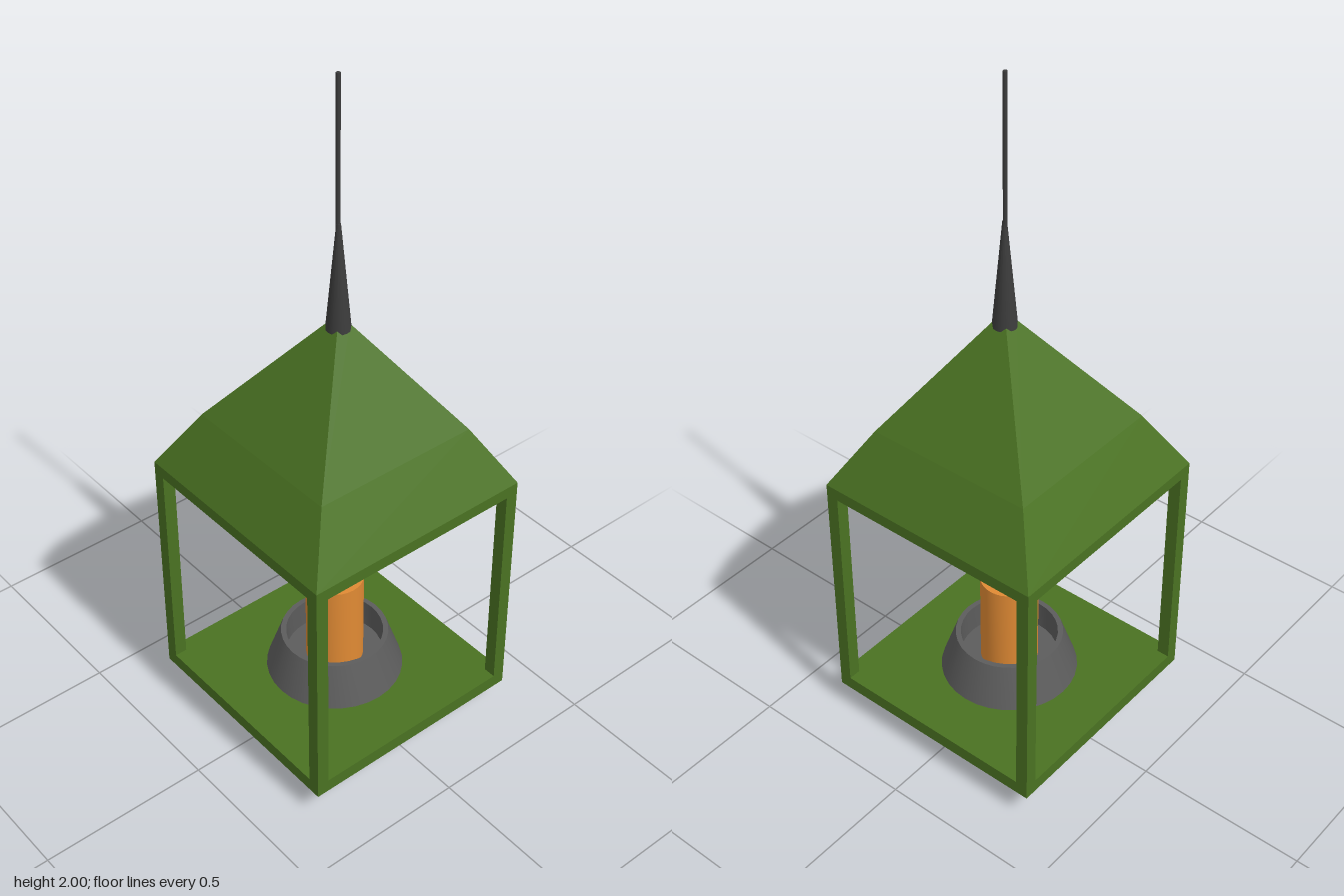
import * as THREE from 'three';
import { toCreasedNormals } from 'three/addons/utils/BufferGeometryUtils.js';

const paint = (color) => new THREE.MeshStandardMaterial({ color });
const green = paint(0x4a7222);
const iron = paint(0x5c5c5c);
const darkIron = paint(0x3c3c3c);
const wax = paint(0xe08a34);
const wickPaint = paint(0x333333);

// Stacks square sections [y, halfWidth, centreX] into a closed flat-faced solid
function squareLoft(sections) {
  const corners = [[1, 1], [1, -1], [-1, -1], [-1, 1]];
  const rings = sections.map(([y, h, cx = 0]) => corners.map(([x, z]) => [cx + x * h, y, z * h]));
  const positions = [];
  const quad = (a, b, c, d) => positions.push(...a, ...b, ...c, ...a, ...c, ...d);
  for (let s = 0; s < rings.length - 1; s++) {
    for (let i = 0; i < 4; i++) {
      const j = (i + 1) % 4;
      quad(rings[s][i], rings[s][j], rings[s + 1][j], rings[s + 1][i]);
    }
  }
  quad(...[...rings[0]].reverse());
  quad(...rings[rings.length - 1]);
  const geometry = new THREE.BufferGeometry();
  geometry.setAttribute('position', new THREE.Float32BufferAttribute(positions, 3));
  geometry.computeVertexNormals();
  return geometry;
}

// Turned solid with crisp edges
function turned(profile, segments = 32) {
  const points = profile.map(([r, y]) => new THREE.Vector2(r, y));
  return toCreasedNormals(new THREE.LatheGeometry(points, segments), 0.6);
}

export function createModel() {
  const group = new THREE.Group();
  const add = (name, geometry, material, x = 0, y = 0, z = 0) => {
    const mesh = new THREE.Mesh(geometry, material);
    mesh.name = name;
    mesh.position.set(x, y, z);
    group.add(mesh);
  };
  const half = 0.347, post = 0.037;

  // Bevelled base and two-pitch roof
  add('base', squareLoft([[0, 0.27], [0.08, half], [0.12, half]]), green);
  add('roof', squareLoft([[0.785, half], [0.82, half], [0.99, 0.25], [1.31, 0.021, 0.015]]), green);

  // Corner posts
  const postGeometry = new THREE.BoxGeometry(post, 0.665, post);
  const offset = half - post / 2;
  for (const x of [-1, 1]) {
    for (const z of [-1, 1]) add('cornerPost', postGeometry, green, x * offset, 0.4525, z * offset);
  }

  // Hollow candle holder
  add('candleHolder', turned([
    [0, 0.12], [0.198, 0.12], [0.155, 0.245], [0.14, 0.245], [0.14, 0.16], [0, 0.16],
  ]), iron);

  // Candle with a melted hollow, and its wick
  add('candle', turned([
    [0, 0.15], [0.083, 0.15], [0.083, 0.45], [0.074, 0.45], [0.07, 0.42], [0, 0.42],
  ]), wax);
  add('wick', new THREE.CylinderGeometry(0.005, 0.005, 0.05, 8), wickPaint, 0, 0.44, 0);

  // Tapered spire and hanging rod
  add('spire', turned([
    [0, 1.295], [0.034, 1.295], [0.006, 1.6], [0, 1.6],
  ], 16), darkIron, 0.015);
  add('hangingRod', new THREE.CylinderGeometry(0.006, 0.006, 0.42, 8), darkIron, 0.013, 1.79, 0);

  return group;
}
